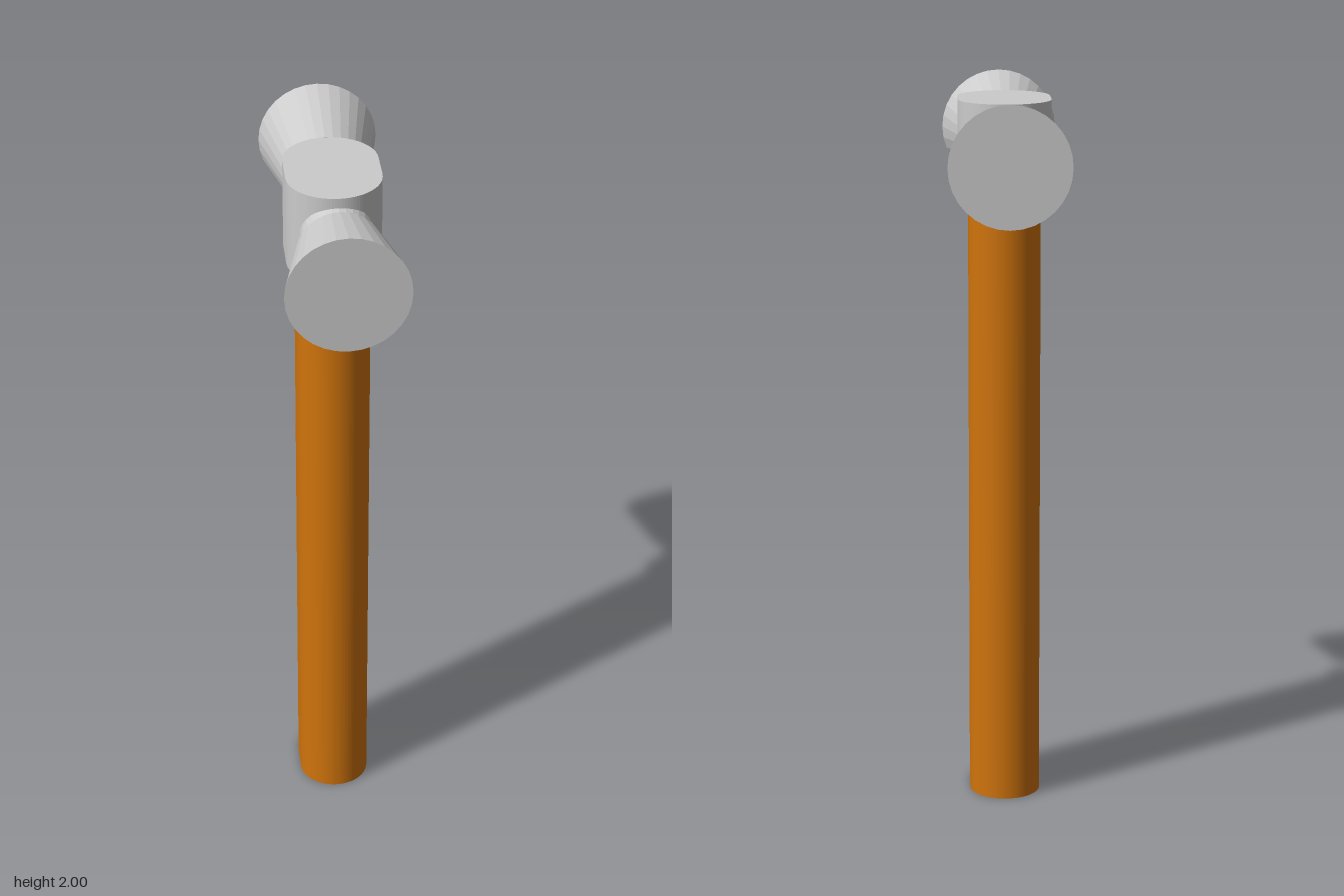
import * as THREE from 'three';

const steel = new THREE.MeshStandardMaterial({ color: 0xcccccc, flatShading: true });
const wood = new THREE.MeshStandardMaterial({ color: 0xd0740c });

// Upright prism with a stadium outline: straight sides in z, round ends
function stadiumPrism(radius, straight, y0, y1, segments) {
  const shape = new THREE.Shape();
  shape.absarc(0, straight, radius, 0, Math.PI, false);
  shape.absarc(0, -straight, radius, Math.PI, Math.PI * 2, false);
  shape.closePath();
  const geo = new THREE.ExtrudeGeometry(shape, {
    depth: y1 - y0, bevelEnabled: false, curveSegments: segments,
  });
  return geo.rotateX(-Math.PI / 2).translate(0, y0, 0);
}

// Solid of revolution along z from [radius, z] pairs
function turnedAlongZ(profile, sides) {
  const points = profile.map(([r, z]) => new THREE.Vector2(r, z));
  return new THREE.LatheGeometry(points, sides).rotateX(Math.PI / 2);
}

export function createModel() {
  const model = new THREE.Group();
  model.name = 'hammer';
  const add = (parent, name, geometry, material) => {
    const mesh = new THREE.Mesh(geometry, material);
    mesh.name = name;
    parent.add(mesh);
    return mesh;
  };

  // Wooden handle
  add(model, 'handle', stadiumPrism(0.098, 0.04, 0, 1.72, 32), wood).position.z = 0.004;

  // Steel block that holds the handle
  add(model, 'headBlock', stadiumPrism(0.126, 0.047, 1.72, 1.97, 24), steel);

  // Front and back striking ends, each a neck and a flared face
  for (const [name, turn] of [['frontEnd', 0], ['backEnd', Math.PI]]) {
    const end = new THREE.Group();
    end.name = name;
    end.position.y = 1.838;
    end.rotation.y = turn;
    const neck = add(end, 'neck', turnedAlongZ([[0, 0.05], [0.109, 0.05], [0.109, 0.155], [0.097, 0.212]], 32), steel);
    neck.scale.x = 0.9;
    add(end, 'flaredFace', turnedAlongZ([[0, 0.21], [0.114, 0.21], [0.162, 0.436], [0, 0.436]], 32), steel);
    model.add(end);
  }
  return model;
}
